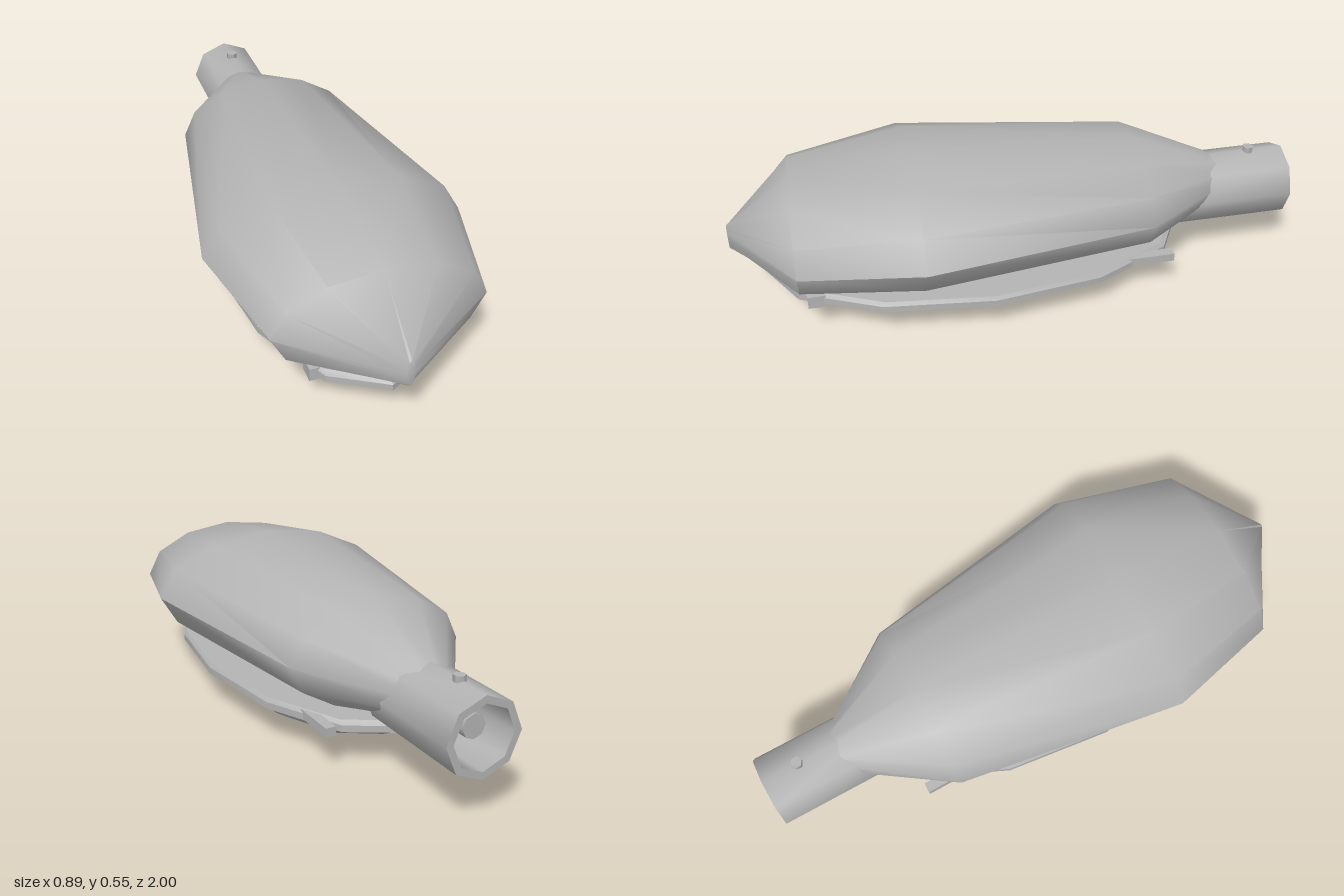
import * as THREE from 'three';
import { toCreasedNormals } from 'three/addons/utils/BufferGeometryUtils.js';

const CREASE = 0.95;

// Loft of 12-sided oval sections, each [z, halfWidth, centreY, halfHeight], front to back
function loft(sections, n = 12) {
  const pos = [], idx = [];
  for (const [z, w, cy, h] of sections)
    for (let j = 0; j < n; j++) {
      const t = (j / n) * Math.PI * 2;
      pos.push(w * Math.cos(t), cy + h * Math.sin(t), z);
    }
  for (let i = 0; i < sections.length - 1; i++)
    for (let j = 0; j < n; j++) {
      const a = i * n + j, b = i * n + (j + 1) % n, c = a + n, d = b + n;
      idx.push(a, c, b, b, c, d);
    }
  const last = (sections.length - 1) * n;
  for (let j = 1; j < n - 1; j++) {
    idx.push(0, j, j + 1);
    idx.push(last, last + j + 1, last + j);
  }
  const g = new THREE.BufferGeometry();
  g.setAttribute('position', new THREE.Float32BufferAttribute(pos, 3));
  g.setIndex(idx);
  return toCreasedNormals(g, CREASE);
}

function lathe(points, sides) {
  return new THREE.LatheGeometry(points.map(([r, y]) => new THREE.Vector2(r, y)), sides);
}

export function createModel() {
  const group = new THREE.Group();
  const grey = new THREE.MeshStandardMaterial({ color: 0xb4b4b4 });
  grey.name = 'light grey';

  const add = (name, geometry, x = 0, y = 0, z = 0) => {
    const mesh = new THREE.Mesh(geometry, grey);
    mesh.name = name;
    mesh.position.set(x, y, z);
    group.add(mesh);
    return mesh;
  };

  // Upper housing: pointed nose, wide belly, tapering into the pole socket
  add('housing', loft([
    [1.0, 0.014, 0.292, 0.048],
    [0.78, 0.345, 0.325, 0.175],
    [0.375, 0.443, 0.35, 0.2],
    [-0.42, 0.31, 0.33, 0.18],
    [-0.76, 0.066, 0.305, 0.08],
  ]));

  // Hollow octagonal socket for the pole
  const socket = lathe([
    [0.105, -1], [0.13, -1], [0.13, -0.55], [0.105, -0.55], [0.105, -1],
  ], 8);
  socket.rotateX(Math.PI / 2);
  add('poleSocket', toCreasedNormals(socket, CREASE), 0, 0.27, 0);

  // Stub inside the socket and the set screw on top
  const stub = new THREE.CylinderGeometry(0.04, 0.04, 0.22, 8);
  stub.rotateX(Math.PI / 2);
  add('innerStub', stub, 0, 0.285, -0.84);
  add('setScrew', new THREE.CylinderGeometry(0.02, 0.02, 0.03, 6), 0, 0.4, -0.87);

  // Oval rim around the lamp opening
  const rim = lathe([
    [0.86, 0.112], [0.94, 0.112], [1, 0.122], [1, 0.145],
    [0.975, 0.158], [0.88, 0.158], [0.86, 0.112],
  ], 12);
  rim.scale(0.355, 1, 0.75);
  add('rim', toCreasedNormals(rim, 0.55), 0, 0, 0.14);

  // Plate closing the opening inside the rim
  const plate = new THREE.CylinderGeometry(0.9, 0.9, 0.03, 12);
  plate.scale(0.355, 1, 0.75);
  add('innerPlate', plate, 0, 0.135, 0.14);

  // Shallow faceted lens bowl below
  const lens = lathe([
    [0, 0], [0.2, 0], [0.59, 0.025], [0.885, 0.06], [1, 0.1], [1, 0.125],
  ], 12);
  lens.scale(0.305, 1, 0.69);
  add('lens', lens, 0, 0, 0.14);

  // Clips at the front and hinge bars at the back, mirrored
  for (const s of [-1, 1]) {
    add('frontClip', new THREE.BoxGeometry(0.036, 0.046, 0.06), s * 0.2, 0.132, 0.73);
    add('rearHinge', new THREE.BoxGeometry(0.036, 0.03, 0.17), s * 0.225, 0.14, -0.44);
  }
  return group;
}
